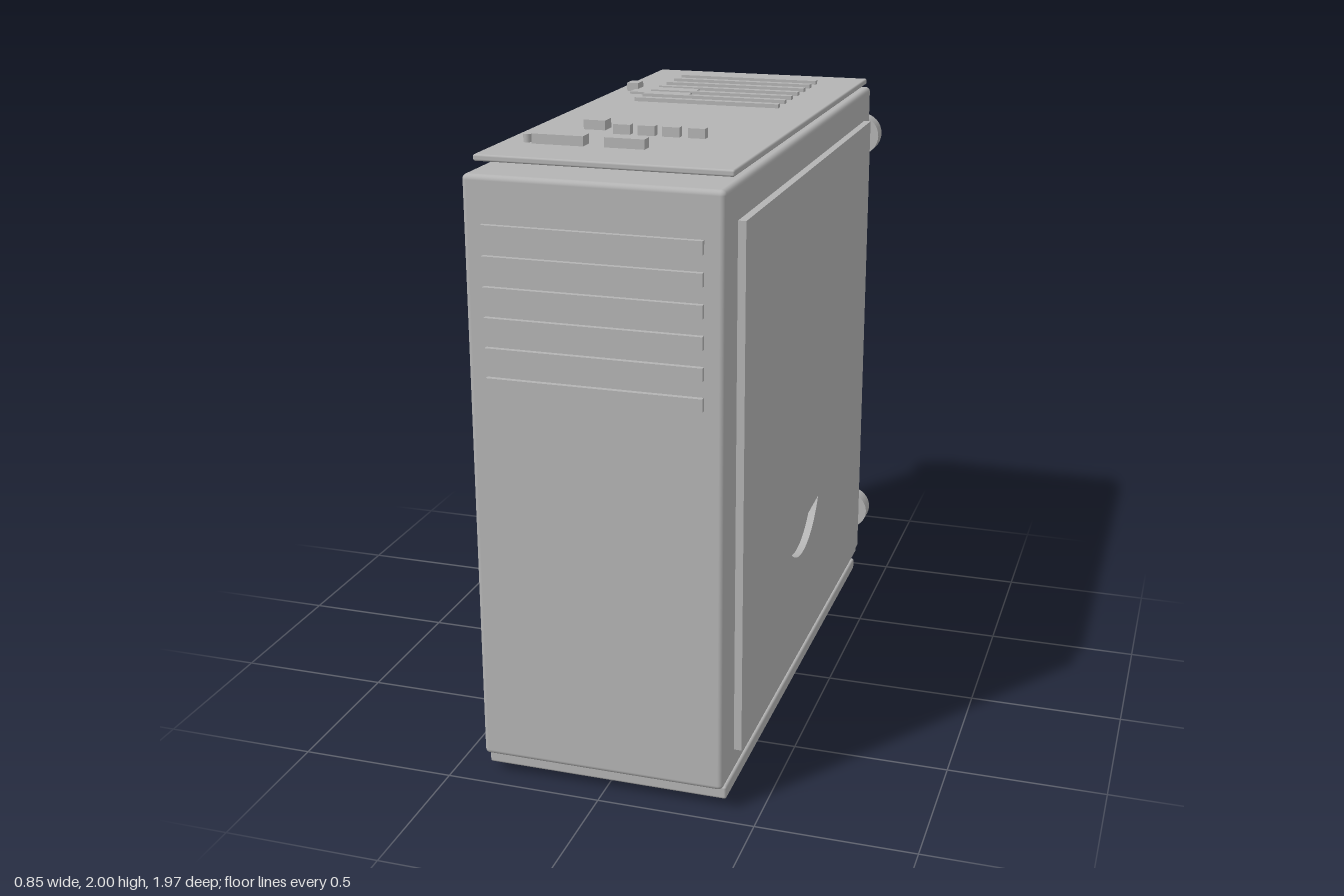
import * as THREE from 'three';
import { RoundedBoxGeometry } from 'three/addons/geometries/RoundedBoxGeometry.js';

export function createModel() {
  const model = new THREE.Group();
  model.name = 'computerCase';
  const grey = new THREE.MeshStandardMaterial({ color: 0xb4b4b4 });
  grey.name = 'casing grey';

  const add = (name, geometry, x = 0, y = 0, z = 0) => {
    const mesh = new THREE.Mesh(geometry, grey);
    mesh.name = name;
    mesh.position.set(x, y, z);
    model.add(mesh);
    return mesh;
  };
  // Box given by its limits on each axis, with optional rounded edges
  const box = (name, [x0, x1], [y0, y1], [z0, z1], r = 0) => {
    const size = [x1 - x0, y1 - y0, z1 - z0];
    const geometry = r ? new RoundedBoxGeometry(...size, 3, r) : new THREE.BoxGeometry(...size);
    return add(name, geometry, (x0 + x1) / 2, (y0 + y1) / 2, (z0 + z1) / 2);
  };

  // Casing with raised top and bottom plates
  box('body', [-0.39, 0.39], [0.08, 1.93], [-0.93, 0.967], 0.016);
  box('topPlate', [-0.39, 0.39], [1.95, 1.97], [-0.855, 0.88], 0.006);
  box('bottomPlate', [-0.39, 0.39], [0.028, 0.072], [-0.887, 0.925], 0.008);

  // Side panel with a wedge-shaped window
  const panel = new THREE.Shape();
  panel.moveTo(-0.88, 0.18);
  panel.lineTo(0.775, 0.18);
  panel.lineTo(0.775, 1.83);
  panel.lineTo(-0.88, 1.83);
  panel.closePath();
  const wedge = new THREE.Path();
  wedge.moveTo(-0.07, 1.015);
  wedge.absarc(-0.135, 0.775, 0.247, -2.486, -0.527, false);
  wedge.closePath();
  panel.holes.push(wedge);
  const panelGeometry = new THREE.ExtrudeGeometry(panel, { depth: 0.024, bevelEnabled: false, curveSegments: 32 });
  panelGeometry.rotateY(Math.PI / 2);
  add('sidePanel', panelGeometry, 0.401);

  // Fan discs behind the panel
  for (const y of [0.775, 1.395]) {
    add('fanDisc', new THREE.CylinderGeometry(0.225, 0.225, 0.014, 48), 0.394, y, 0.135).rotation.z = Math.PI / 2;
  }

  // Round feet on the back
  for (const x of [-0.352, 0.352]) {
    for (const y of [0.26, 1.75]) {
      add('backFoot', new THREE.CylinderGeometry(0.073, 0.073, 0.06, 32), x, y, -0.953).rotation.x = Math.PI / 2;
    }
  }

  // Front vent slats
  for (let i = 0; i < 6; i++) {
    const y = 1.314 + i * 0.0912;
    box('frontSlat', [-0.33, 0.33], [y - 0.02, y + 0.02], [0.955, 0.983]);
  }

  // Top vent slats and latch
  for (let i = 0; i < 7; i++) {
    const z = -0.67 + i * 0.087;
    box('topSlat', [-0.25, 0.247], [1.96, 1.983], [z - 0.013, z + 0.013]);
  }
  box('latchPlate', [-0.315, -0.102], [1.96, 1.978], [-0.447, -0.277]);
  box('latchTab', [-0.345, -0.305], [1.96, 1.998], [-0.39, -0.335]);

  // Ports and buttons on the top
  box('widePort', [-0.29, -0.128], [1.96, 2], [0.627, 0.678]);
  box('narrowPort', [-0.065, 0.06], [1.96, 2], [0.634, 0.673]);
  box('powerButton', [-0.226, -0.156], [1.96, 2], [0.356, 0.411]);
  for (const x of [-0.086, -0.008, 0.07, 0.151]) {
    box('topButton', [x - 0.027, x + 0.027], [1.96, 2], [0.43, 0.459]);
  }
  add('indicator', new THREE.CylinderGeometry(0.012, 0.012, 0.035, 16), -0.312, 1.977, 0.656);

  // Bottom slats
  for (let i = 0; i < 9; i++) {
    const z = 0.38 - i * 0.1383;
    box('bottomSlat', [-0.31, 0.31], [0.012, 0.035], [z - 0.008, z + 0.008]);
  }

  // Small fittings under the front
  add('bottomKnob', new THREE.CylinderGeometry(0.036, 0.036, 0.035, 32), 0.228, 0.0175, 0.807);
  add('bottomPin', new THREE.CylinderGeometry(0.01, 0.01, 0.025, 16), 0.163, 0.0225, 0.807);
  for (const [x, w] of [[-0.225, 0.05], [-0.143, 0.053], [-0.048, 0.043], [0.015, 0.025], [0.06, 0.025]]) {
    box('bottomPort', [x - w / 2, x + w / 2], [0.008, 0.035], [0.793, 0.821]);
  }

  return model;
}
